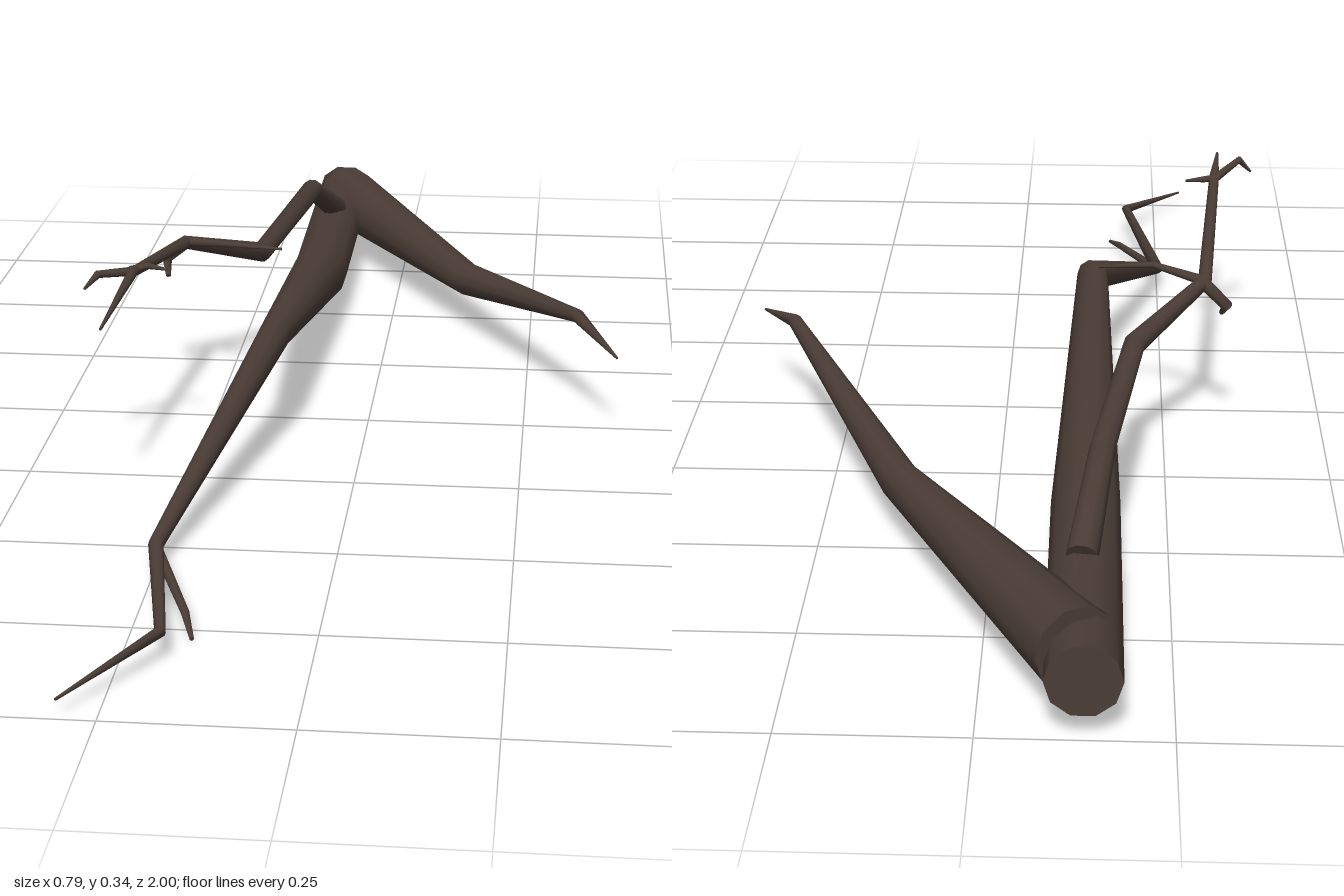
import * as THREE from 'three';

const SIDES = 10;

// Tapered limb swept through stations [x, y, z, radius], rings mitred at each bend
function limbGeometry(stations) {
  const pts = stations.map(([x, y, z]) => new THREE.Vector3(x, y, z));
  const last = pts.length - 1;
  const pos = [], idx = [];
  const side = new THREE.Vector3(), up = new THREE.Vector3(0, 1, 0);
  pts.forEach((p, i) => {
    const t = new THREE.Vector3();
    if (i > 0) t.add(p.clone().sub(pts[i - 1]).normalize());
    if (i < last) t.add(pts[i + 1].clone().sub(p).normalize());
    t.normalize();
    // carry the frame forward so the limb does not twist
    side.crossVectors(up, t).normalize();
    up.crossVectors(t, side).normalize();
    for (let j = 0; j < SIDES; j++) {
      const a = (j / SIDES) * Math.PI * 2;
      const v = p.clone()
        .addScaledVector(side, Math.cos(a) * stations[i][3])
        .addScaledVector(up, Math.sin(a) * stations[i][3]);
      pos.push(v.x, v.y, v.z);
    }
  });
  for (let i = 0; i < last; i++) {
    for (let j = 0; j < SIDES; j++) {
      const a = i * SIDES + j, b = i * SIDES + (j + 1) % SIDES;
      idx.push(a, b, b + SIDES, a, b + SIDES, a + SIDES);
    }
  }
  // flat end caps on their own vertices
  for (const ring of [0, last]) {
    const base = pos.length / 3;
    for (let j = 0; j < SIDES; j++) {
      const k = (ring * SIDES + j) * 3;
      pos.push(pos[k], pos[k + 1], pos[k + 2]);
    }
    for (let j = 1; j < SIDES - 1; j++) {
      if (ring === 0) idx.push(base, base + j + 1, base + j);
      else idx.push(base, base + j, base + j + 1);
    }
  }
  const g = new THREE.BufferGeometry();
  g.setAttribute('position', new THREE.Float32BufferAttribute(pos, 3));
  g.setIndex(idx);
  g.computeVertexNormals();
  return g;
}

const LIMBS = {
  // thick trunk running the full length
  mainBranch: [
    [-0.135, 0.088, -1, 0.05], [-0.132, 0.084, -0.5, 0.049], [-0.135, 0.193, 0.115, 0.025],
    [-0.25, 0.038, 0.56, 0.011], [-0.195, 0.051, 0.845, 0.008], [-0.3, 0.033, 1, 0.002],
  ],
  mainBranchTwig: [
    [-0.25, 0.036, 0.56, 0.008], [-0.183, 0.02, 0.725, 0.006], [-0.165, 0.008, 0.78, 0.003],
  ],
  // fork to the left
  sideBranch: [
    [-0.125, 0.097, -0.935, 0.058], [0.135, 0.094, -0.46, 0.029],
    [0.332, 0.174, -0.06, 0.011], [0.395, 0.147, 0.055, 0.002],
  ],
  // slim branch rising above the trunk
  upperBranch: [
    [-0.13, 0.13, -0.75, 0.022], [-0.155, 0.213, -0.59, 0.018], [-0.2, 0.212, -0.225, 0.017],
    [-0.308, 0.267, -0.1, 0.011], [-0.333, 0.327, 0.23, 0.008], [-0.346, 0.305, 0.42, 0.002],
  ],
  longTwig: [
    [-0.305, 0.268, -0.1, 0.008], [-0.23, 0.278, -0.062, 0.005], [-0.145, 0.273, -0.06, 0.002],
  ],
  hookedTwig: [
    [-0.305, 0.267, -0.105, 0.01], [-0.342, 0.233, -0.115, 0.009], [-0.336, 0.212, -0.09, 0.004],
  ],
  tipTwigRight: [
    [-0.333, 0.325, 0.22, 0.007], [-0.376, 0.339, 0.28, 0.006], [-0.396, 0.317, 0.285, 0.002],
  ],
  tipTwigLeft: [
    [-0.338, 0.327, 0.22, 0.006], [-0.315, 0.329, 0.205, 0.005], [-0.285, 0.325, 0.208, 0.002],
  ],
};

export function createModel() {
  const bark = new THREE.MeshStandardMaterial({ color: 0x4a3c35 });
  bark.name = 'bark';
  const group = new THREE.Group();
  group.name = 'branch';
  for (const [name, stations] of Object.entries(LIMBS)) {
    const mesh = new THREE.Mesh(limbGeometry(stations), bark);
    mesh.name = name;
    group.add(mesh);
  }
  return group;
}
